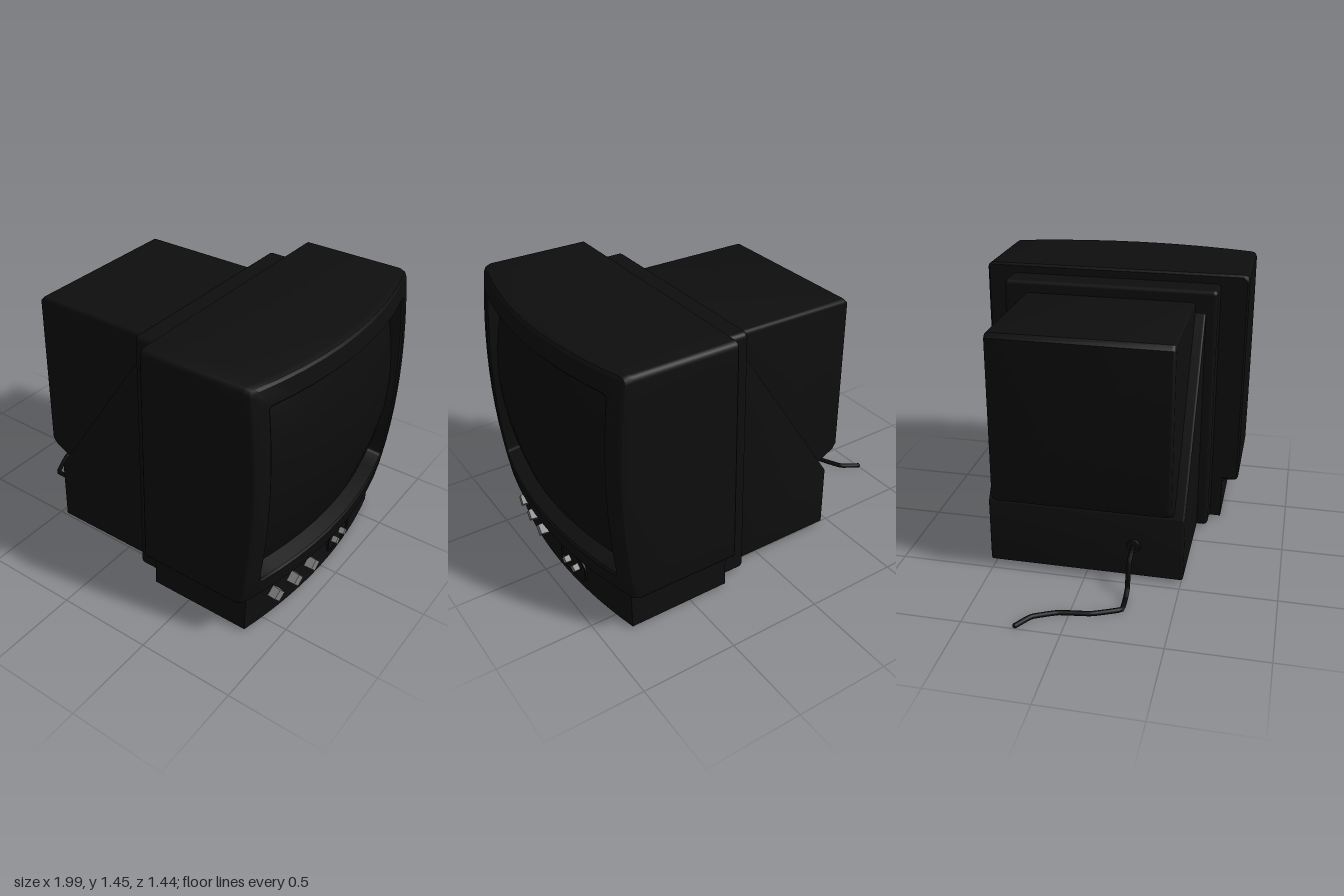
import * as THREE from 'three';
import { toCreasedNormals } from 'three/addons/utils/BufferGeometryUtils.js';
import { RoundedBoxGeometry } from 'three/addons/geometries/RoundedBoxGeometry.js';

const material = (name, color) => new THREE.MeshStandardMaterial({ name, color });
const CY = 0.85; // height of the screen centre
const ZC = -0.007; // the rear housing sits a touch off centre

// Rounded rectangle in the y/z plane, counter-clockwise seen from +x; xAt(z, y) gives the depth
function loop(hz, hy, r, xAt) {
  const corners = [];
  for (let k = 0; k < 4; k++) {
    const sz = k === 0 || k === 3 ? 1 : -1, sy = k < 2 ? 1 : -1;
    for (let i = 0; i <= 4; i++) {
      const a = (k + i / 4) * Math.PI / 2;
      corners.push([-(sz * (hz - r) + r * Math.cos(a)), sy * (hy - r) + r * Math.sin(a)]);
    }
  }
  const points = [];
  corners.forEach((p, i) => {
    const q = corners[(i + 1) % corners.length];
    const steps = i % 5 === 4 ? 10 : 1;
    for (let s = 0; s < steps; s++) {
      const z = THREE.MathUtils.lerp(p[0], q[0], s / steps);
      const y = THREE.MathUtils.lerp(p[1], q[1], s / steps);
      points.push([xAt(z, y), CY + y, z]);
    }
  });
  return points;
}

// Joins successive loops into a skin
function skin(loops, crease = 0.5) {
  const n = loops[0].length, index = [];
  for (let i = 0; i < loops.length - 1; i++) {
    for (let j = 0; j < n; j++) {
      const a = i * n + j, b = i * n + (j + 1) % n;
      index.push(a, b, a + n, b, b + n, a + n);
    }
  }
  const g = new THREE.BufferGeometry();
  g.setAttribute('position', new THREE.Float32BufferAttribute(loops.flat(2), 3));
  g.setIndex(index);
  return toCreasedNormals(g, crease);
}

// Side profile extruded across z with rounded edges
function sideProfile(points, halfWidth, bevel) {
  const shape = new THREE.Shape(points.map(([x, y]) => new THREE.Vector2(x, y)));
  const g = new THREE.ExtrudeGeometry(shape, {
    depth: 2 * (halfWidth - bevel), bevelThickness: bevel, bevelSize: bevel,
    bevelOffset: -bevel, bevelSegments: 3,
  });
  g.translate(0, 0, ZC - halfWidth + bevel);
  return toCreasedNormals(g, 0.6);
}

function pill(hz, hy, r) {
  const s = new THREE.Shape();
  s.moveTo(hz, -hy + r);
  s.absarc(hz - r, hy - r, r, 0, Math.PI / 2);
  s.absarc(-hz + r, hy - r, r, Math.PI / 2, Math.PI);
  s.absarc(-hz + r, -hy + r, r, Math.PI, Math.PI * 1.5);
  s.absarc(hz - r, -hy + r, r, Math.PI * 1.5, Math.PI * 2);
  return s;
}

export function createModel() {
  const model = new THREE.Group();
  model.name = 'television';
  const casing = material('casing black', 0x0e0e0e);
  const glass = material('screen black', 0x0c0c0c);
  const cable = material('cable black', 0x080808);
  const metal = material('knob grey', 0x808080);
  const add = (name, geometry, mat) => {
    const mesh = new THREE.Mesh(geometry, mat);
    mesh.name = name;
    model.add(mesh);
    return mesh;
  };

  // Front frame, bowed in both directions around the screen opening
  const lip = (z, y) => 0.91 + 0.08 * (1 - (z / 0.61) ** 2) + 0.03 * (1 - (y / 0.48) ** 2);
  const dome = (z, y) => 0.985 - 0.075 * (y / 0.46) ** 2 - 0.085 * (z / 0.6) ** 2;
  add('screenFrame', skin([
    loop(0, 0, 0, () => 0.29),
    loop(0.71, 0.59, 0.03, () => 0.29),
    loop(0.72, 0.602, 0.03, () => 0.3),
    loop(0.72, 0.602, 0.03, (z, y) => lip(z, y) - 0.035),
    loop(0.712, 0.594, 0.03, (z, y) => lip(z, y) - 0.008),
    loop(0.7, 0.582, 0.03, lip),
    loop(0.625, 0.495, 0.02, lip),
    loop(0.612, 0.484, 0.02, (z, y) => lip(z, y) - 0.01),
    loop(0.595, 0.462, 0.02, (z, y) => dome(z, y) - 0.004),
  ]), casing);

  // Domed screen
  const screenLoops = [];
  for (let i = 0; i <= 8; i++) {
    const s = 1 - i / 8;
    screenLoops.push(loop(0.597 * s, 0.464 * s, 0.02 * s, dome));
  }
  add('screen', skin(screenLoops, 1), glass);

  // Control base with a bowed front
  const frontX = (z) => 0.84 + 0.0725 * (1 - (z / 0.63) ** 2);
  const slope = (z) => -0.145 * z / 0.63 ** 2;
  const plan = new THREE.Shape();
  plan.moveTo(0.29, -0.63);
  plan.lineTo(0.84, -0.63);
  plan.quadraticCurveTo(0.985, 0, 0.84, 0.63);
  plan.lineTo(0.29, 0.63);
  const base = new THREE.ExtrudeGeometry(plan, { depth: 0.25, bevelEnabled: false, curveSegments: 16 });
  base.rotateX(-Math.PI / 2).translate(0, 0.012, 0);
  add('controlBase', toCreasedNormals(base, 0.5), casing);

  // Neck under the frame
  add('baseNeck', new RoundedBoxGeometry(0.53, 0.04, 1.29, 2, 0.015).translate(0.56, 0.25, 0), casing);

  // Control knobs
  const knob = (name, z, y, r, out) => {
    const g = new THREE.CylinderGeometry(r * 0.88, r, out + 0.02, 4).toNonIndexed();
    g.computeVertexNormals();
    g.rotateZ(-Math.PI / 2);
    const mesh = add(name, g, metal);
    mesh.position.set(frontX(z) + out / 2 - 0.01, y, z);
    mesh.rotation.y = slope(z);
  };
  [0.44, 0.295, 0.15].forEach((z, i) => knob('largeKnob' + (i + 1), z, 0.14, 0.042, 0.045));
  [-0.11, -0.195].forEach((z, i) => knob('smallKnob' + (i + 1), z, 0.112, 0.026, 0.03));

  // Oval rim around the small knobs
  const rim = pill(0.122, 0.066, 0.05);
  rim.holes.push(pill(0.112, 0.056, 0.042));
  const rimGeometry = new THREE.ExtrudeGeometry(rim, { depth: 0.012, bevelEnabled: false });
  const rimMesh = add('knobPanelRim', rimGeometry.rotateY(Math.PI / 2), casing);
  rimMesh.position.set(frontX(-0.16) - 0.006, 0.117, -0.16);
  rimMesh.rotation.y = slope(-0.16);

  // Middle collar
  add('collar', new RoundedBoxGeometry(0.18, 1.38, 1.155, 3, 0.025).translate(0.23, 0.71, ZC), casing);

  // Rear housing with an undercut at the back
  add('rearHousing', sideProfile([
    [0.2, 0.05], [0.2, 1.335], [-0.545, 1.335], [-0.568, 1.312], [-0.568, 0.47],
    [-0.545, 0.435], [-0.43, 0.375], [-0.43, 0.05],
  ], 0.462, 0.02), casing);

  // Wider lower housing, cut off along a diagonal
  add('lowerHousing', sideProfile([
    [0.2, 0.022], [0.2, 1.37], [-0.447, 0.37], [-0.447, 0.022],
  ], 0.518, 0.012), casing);

  // Cable socket and power cable
  const socket = new THREE.CylinderGeometry(0.035, 0.04, 0.02, 12).rotateZ(Math.PI / 2);
  add('cableSocket', socket.translate(-0.45, 0.195, 0.25), casing);
  const path = new THREE.CatmullRomCurve3([
    [-0.43, 0.195, 0.25], [-0.51, 0.195, 0.25], [-0.565, 0.172, 0.25], [-0.592, 0.11, 0.25],
    [-0.61, 0.04, 0.25], [-0.655, 0.015, 0.25], [-0.755, 0.014, 0.248], [-0.82, 0.014, 0.11],
    [-0.845, 0.014, -0.05], [-0.905, 0.014, -0.17], [-0.995, 0.014, -0.228],
  ].map((p) => new THREE.Vector3(...p)), false, 'catmullrom', 0.15);
  add('powerCable', new THREE.TubeGeometry(path, 60, 0.013, 8), cable);
  const tip = new THREE.SphereGeometry(0.013, 8, 6);
  add('cableEnd', tip.translate(-0.992, 0.014, -0.227), cable);

  return model;
}
